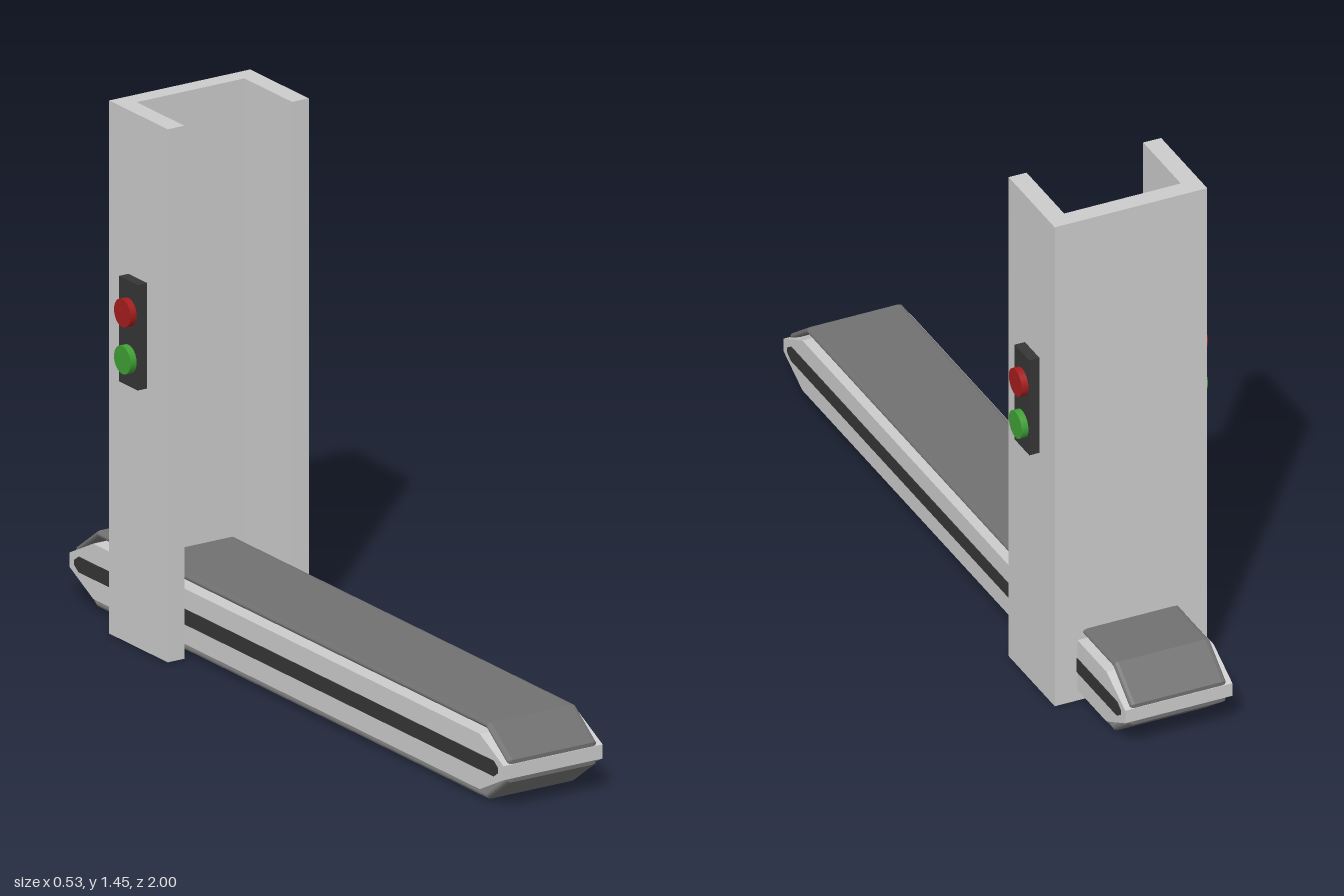
import * as THREE from 'three';

const grey = new THREE.MeshStandardMaterial({ color: 0xcccccc });
const paint = (color) => new THREE.MeshStandardMaterial({ color });
const rubber = paint(0x707070), black = paint(0x363636);
const red = paint(0xa51c1c), green = paint(0x3fa035);
rubber.flatShading = true;

function add(parent, name, geometry, material, x = 0, y = 0, z = 0) {
  const mesh = new THREE.Mesh(geometry, material);
  mesh.name = name;
  mesh.position.set(x, y, z);
  parent.add(mesh);
  return mesh;
}

// Elongated outline with tapered ends, centred on the conveyor axis
function taperedOutline(flat, tip, half, tipHalf) {
  return [[-flat, -half], [flat, -half], [tip, -tipHalf], [tip, tipHalf],
    [flat, half], [-flat, half], [-tip, tipHalf], [-tip, -tipHalf]]
    .map(([a, b]) => new THREE.Vector2(a, b));
}

// Extrude a side-view outline across the width, centred on x
function acrossWidth(shape, width, bevel) {
  const depth = width - 2 * (bevel ? bevel.bevelThickness : 0);
  const g = new THREE.ExtrudeGeometry(shape, { depth, bevelEnabled: !!bevel, ...bevel });
  return g.translate(0, 0, -depth / 2).rotateY(Math.PI / 2);
}

export function createModel() {
  const model = new THREE.Group();
  const axisY = 0.107;

  // Conveyor: solid bed, dark side stripes and a hollow belt loop
  const conveyor = new THREE.Group();
  conveyor.name = 'conveyor';
  conveyor.position.set(0.002, axisY, 0);
  model.add(conveyor);

  add(conveyor, 'conveyorBed',
    acrossWidth(new THREE.Shape(taperedOutline(0.89, 1, 0.075, 0.019)), 0.305), grey);
  add(conveyor, 'sideStripe',
    acrossWidth(new THREE.Shape(taperedOutline(0.955, 0.975, 0.021, 0.007)), 0.309), black);

  const loop = new THREE.Shape(taperedOutline(0.898, 0.993, 0.097, 0.027));
  loop.holes.push(new THREE.Path(taperedOutline(0.897, 0.989, 0.093, 0.025).reverse()));
  add(conveyor, 'belt', acrossWidth(loop, 0.272,
    { bevelThickness: 0.012, bevelSize: 0.006, bevelSegments: 2 }), rubber);

  // Upright channel: U-shaped plan, open to the front
  const tower = new THREE.Group();
  tower.name = 'tower';
  tower.position.set(0.002, 0, 0);
  model.add(tower);
  const plan = new THREE.Shape([
    [-0.217, 0.45], [-0.166, 0.45], [-0.166, 0.67], [0.166, 0.67],
    [0.166, 0.45], [0.217, 0.45], [0.217, 0.72], [-0.217, 0.72],
  ].map(([x, y]) => new THREE.Vector2(x, y)));
  const channel = new THREE.ExtrudeGeometry(plan, { depth: 1.445, bevelEnabled: false });
  add(tower, 'channel', channel.rotateX(-Math.PI / 2), grey);

  // Push-button panels on both outer faces
  for (const side of [-1, 1]) {
    const panel = new THREE.Group();
    panel.name = side < 0 ? 'rightControlPanel' : 'leftControlPanel';
    panel.position.set(side * 0.217, 0, -0.588);
    tower.add(panel);
    add(panel, 'panelBox', new THREE.BoxGeometry(0.03, 0.286, 0.086), black, side * 0.014, 0.858, 0);
    for (const [name, y, material] of [['stopButton', 0.916, red], ['startButton', 0.789, green]]) {
      const button = new THREE.CylinderGeometry(0.038, 0.038, 0.03, 32).rotateZ(Math.PI / 2);
      add(panel, name, button, material, side * 0.033, y, 0);
    }
  }
  return model;
}
